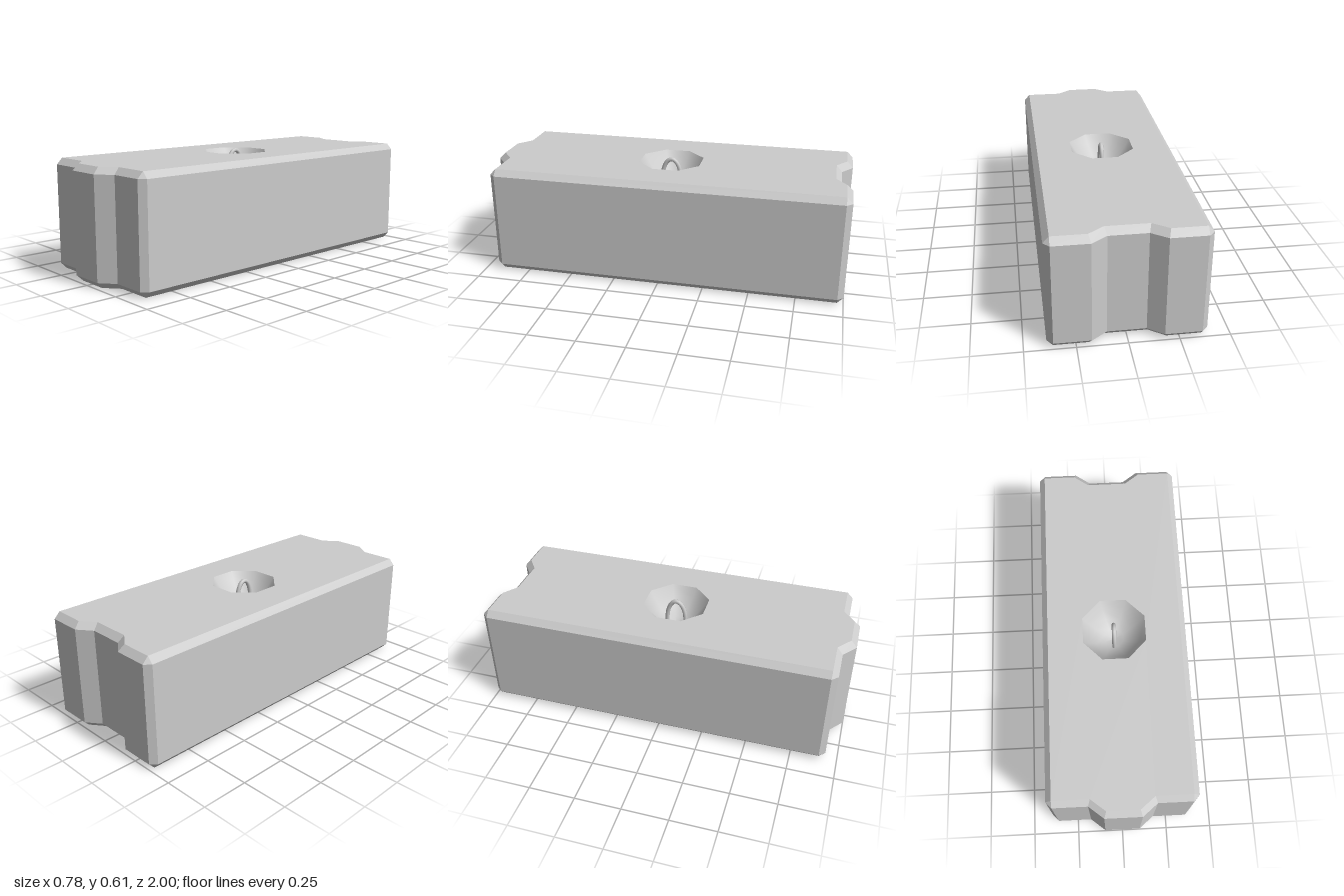
import * as THREE from 'three';

// Half outlines (x, z) from front centre round to back centre; mirrored below
const OUTER = [[0.097, 1], [0.176, 0.936], [0.36, 0.936], [0.39, 0.904],
  [0.39, -0.968], [0.36, -1], [0.176, -1], [0.097, -0.942]];
const INNER = [[0.086, 0.968], [0.165, 0.904], [0.36, 0.904], [0.36, 0.904],
  [0.36, -0.968], [0.36, -0.968], [0.187, -0.968], [0.108, -0.91]];
const HEIGHT = 0.597, CHAMFER = 0.033, BOWL_RADIUS = 0.184;

const mirror = (half) => [...half, ...half.slice().reverse().map(([x, z]) => [-x, z])];

// Flat faces joining stacked rings of equal length
function bandGeometry(rings) {
  const pos = [];
  for (let r = 0; r < rings.length - 1; r++) {
    const lo = rings[r], hi = rings[r + 1], n = lo.length;
    for (let i = 0; i < n; i++) {
      const j = (i + 1) % n;
      pos.push(...lo[i], ...lo[j], ...hi[j], ...lo[i], ...hi[j], ...hi[i]);
    }
  }
  const g = new THREE.BufferGeometry();
  g.setAttribute('position', new THREE.Float32BufferAttribute(pos, 3));
  g.computeVertexNormals();
  return g;
}

export function createModel() {
  const group = new THREE.Group();
  const flat = new THREE.MeshStandardMaterial({ color: 0xcccccc, flatShading: true });
  const smooth = new THREE.MeshStandardMaterial({ color: 0xcccccc, side: THREE.DoubleSide });
  const add = (name, geometry, material) => {
    const mesh = new THREE.Mesh(geometry, material);
    mesh.name = name;
    group.add(mesh);
    return mesh;
  };

  const outer = mirror(OUTER), inner = mirror(INNER);
  const ring = (pts, y) => pts.map(([x, z]) => [x, y, z]);

  // Walls with tongue, groove and chamfers
  add('blockWalls', bandGeometry([ring(inner, 0), ring(outer, CHAMFER),
    ring(outer, HEIGHT - CHAMFER), ring(inner, HEIGHT)]), flat);

  // Top and bottom caps; corner duplicates removed
  const cap = inner.filter(([x, z], i) => {
    const [px, pz] = inner[(i + inner.length - 1) % inner.length];
    return x !== px || z !== pz;
  });
  const topShape = new THREE.Shape(cap.map(([x, z]) => new THREE.Vector2(x, -z)));
  const octagon = [];
  for (let i = 0; i < 8; i++) {
    const a = (i + 0.5) * Math.PI / 4;
    octagon.push(new THREE.Vector2(BOWL_RADIUS * Math.cos(a), BOWL_RADIUS * Math.sin(a)));
  }
  topShape.holes.push(new THREE.Path(octagon));
  add('blockTop', new THREE.ShapeGeometry(topShape).rotateX(-Math.PI / 2).translate(0, HEIGHT, 0), flat);
  const bottomShape = new THREE.Shape(cap.map(([x, z]) => new THREE.Vector2(x, z)));
  add('blockBottom', new THREE.ShapeGeometry(bottomShape).rotateX(Math.PI / 2), flat);

  // Eight-sided recess around the lifting loop
  const bowl = [[BOWL_RADIUS, 0], [0.15, -0.05], [0.105, -0.1], [0.055, -0.135], [0, -0.15]]
    .map(([r, y]) => new THREE.Vector2(r, HEIGHT + y));
  add('liftingRecess', new THREE.LatheGeometry(bowl, 8).rotateY(Math.PI / 8), smooth);

  // Lifting loop: an arch standing in the recess
  const arch = [new THREE.Vector3(0, 0.43, -0.052)];
  for (let i = 0; i <= 12; i++) {
    const a = Math.PI * (1 - i / 12);
    arch.push(new THREE.Vector3(0, 0.49 + 0.11 * Math.sin(a), 0.052 * Math.cos(a)));
  }
  arch.push(new THREE.Vector3(0, 0.43, 0.052));
  add('liftingLoop', new THREE.TubeGeometry(new THREE.CatmullRomCurve3(arch), 28, 0.012, 8), smooth);

  return group;
}
